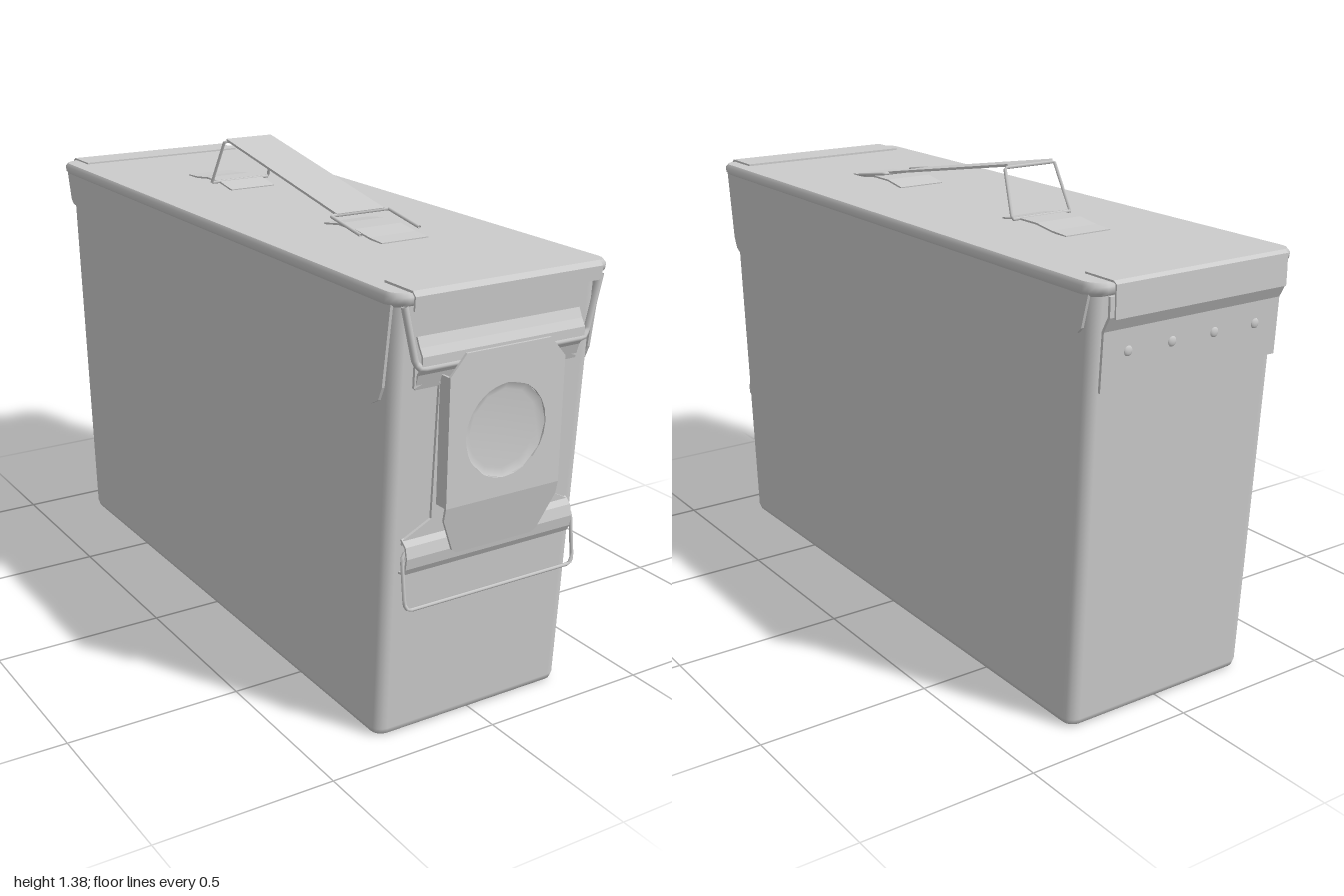
import * as THREE from 'three';

const material = new THREE.MeshStandardMaterial({ color: 0xcccccc, side: THREE.DoubleSide });

function add(parent, name, geometry) {
  const mesh = new THREE.Mesh(geometry, material);
  mesh.name = name;
  parent.add(mesh);
  return mesh;
}

// Half outline [x, y] mirrored across x = 0
const mirrored = (half) => [...half, ...half.slice().reverse().map(([x, y]) => [-x, y])];
const toShape = (pts) => new THREE.Shape(pts.map(([x, y]) => new THREE.Vector2(x, y)));

function plate(shape, depth) {
  return new THREE.ExtrudeGeometry(shape, { depth, bevelEnabled: false, curveSegments: 12 });
}

// Bent sheet metal: profile of [z, y] points given a thickness and a width along x
function strip(profile, width, t = 0.006) {
  const offset = profile.map(([z, y], i) => {
    const a = profile[Math.max(i - 1, 0)], b = profile[Math.min(i + 1, profile.length - 1)];
    const d = Math.hypot(b[0] - a[0], b[1] - a[1]);
    return [z - (b[1] - a[1]) / d * t, y + (b[0] - a[0]) / d * t];
  });
  const g = plate(toShape([...profile, ...offset.reverse()]), width);
  g.translate(0, 0, -width / 2);
  return g.rotateY(-Math.PI / 2);
}

// Wire through [x, y, z] corners, kept straight between them
function wire(points, radius = 0.006, closed = false) {
  const path = new THREE.CurvePath();
  const v = points.map((p) => new THREE.Vector3(...p));
  if (closed) v.push(v[0].clone());
  for (let i = 0; i < v.length - 1; i++) path.add(new THREE.LineCurve3(v[i], v[i + 1]));
  return new THREE.TubeGeometry(path, 60, radius, 6);
}

// Points of a rounded rectangle in plan
function ring(hx, z0, z1, r, y, n = 4) {
  const pts = [];
  [[hx - r, z1 - r], [-hx + r, z1 - r], [-hx + r, z0 + r], [hx - r, z0 + r]].forEach(([x, z], k) => {
    for (let i = 0; i <= n; i++) {
      const a = (k + i / n) * Math.PI / 2;
      pts.push([x + r * Math.cos(a), y, z + r * Math.sin(a)]);
    }
  });
  return pts;
}

// Skin through stacked rings, with both ends capped
function loft(rings) {
  const n = rings[0].length, pos = rings.flat(2), index = [];
  for (let j = 0; j < rings.length - 1; j++) {
    for (let i = 0; i < n; i++) {
      const a = j * n + i, b = j * n + (i + 1) % n;
      index.push(a, a + n, b, b, a + n, b + n);
    }
  }
  const base = pos.length / 3;
  pos.push(...rings[0].flat(), ...rings[rings.length - 1].flat());
  for (let i = 1; i < n - 1; i++) {
    index.push(base, base + i, base + i + 1, base + n, base + n + i + 1, base + n + i);
  }
  const g = new THREE.BufferGeometry();
  g.setAttribute('position', new THREE.Float32BufferAttribute(pos, 3));
  g.setIndex(index);
  g.computeVertexNormals();
  return g;
}

export function createModel() {
  const model = new THREE.Group();
  model.name = 'ammunitionBox';

  // Tapered body with rounded vertical and bottom edges
  add(model, 'body', loft([
    ring(0.285, -0.875, 0.88, 0.02, 0),
    ring(0.298, -0.89, 0.895, 0.03, 0.006),
    ring(0.304, -0.896, 0.9, 0.035, 0.022),
    ring(0.315, -0.955, 0.955, 0.035, 1.2),
  ]));

  // Lid
  const lid = new THREE.Group();
  lid.name = 'lid';
  model.add(lid);
  add(lid, 'lidShell', loft([
    ring(0.322, -0.965, 0.965, 0.035, 1.185),
    ring(0.332, -0.982, 0.982, 0.045, 1.196),
    ring(0.333, -0.984, 0.984, 0.045, 1.212),
    ring(0.326, -0.976, 0.976, 0.04, 1.222),
  ]));

  // Slanted skirts down both sides of the lid
  const skirt = toShape([[0.955, 1.2], [0.925, 0.98], [0.91, 0.945], [0.88, 0.928], [0.83, 0.92],
    [-0.915, 1.09], [-0.93, 1.105], [-0.955, 1.2]]);
  for (const s of [-1, 1]) {
    const g = plate(skirt, 0.008).translate(0, 0, -0.004).rotateY(-Math.PI / 2);
    add(lid, s > 0 ? 'leftSkirt' : 'rightSkirt', g).position.x = s * 0.321;
  }

  // Folded plates over the front and back edges
  add(lid, 'frontLip', strip([[0.87, 1.222], [0.985, 1.222], [0.992, 1.215], [0.99, 1.18]], 0.57));
  const hinge = new THREE.Group();
  hinge.name = 'hinge';
  model.add(hinge);
  add(hinge, 'hingeCover', strip([[-0.997, 1.135], [-0.997, 1.22], [-0.99, 1.223], [-0.885, 1.223]], 0.56, 0.005));
  add(hinge, 'hingePlate', strip([[-0.956, 0.945], [-0.964, 1.1], [-0.985, 1.14], [-0.985, 1.19]], 0.58, 0.008));
  for (let i = 0; i < 4; i++) {
    const g = new THREE.SphereGeometry(0.014, 10, 6).scale(1, 1, 0.4);
    add(hinge, 'hingeRivet', g).position.set(-0.21 + i * 0.14, 1.04, -0.968);
  }

  // Front latch
  const latch = new THREE.Group();
  latch.name = 'latch';
  model.add(latch);

  // Backing bracket, flared at both ends and leaning with the body
  const bracket = plate(toShape(mirrored([[0.265, 0.56], [0.26, 0.575], [0.18, 0.615], [0.18, 1.0],
    [0.255, 0.975], [0.255, 1.035]])), 0.008);
  const bp = bracket.attributes.position;
  for (let i = 0; i < bp.count; i++) bp.setZ(i, bp.getZ(i) + 0.906 + 0.046 * bp.getY(i));
  bracket.computeVertexNormals();
  add(latch, 'bracket', bracket);
  add(latch, 'upperCatch', strip([[0.955, 0.97], [0.968, 1.01], [0.985, 1.035], [0.985, 1.06],
    [0.972, 1.08], [0.96, 1.105]], 0.5));
  add(latch, 'lowerRoll', strip([[0.925, 0.478], [0.947, 0.482], [0.957, 0.5], [0.962, 0.53],
    [0.955, 0.56], [0.935, 0.577]], 0.53));

  // Lever plate with a round dish, its tail bent towards the body
  const lever = toShape(mirrored([[0.12, 0.52], [0.135, 0.53], [0.178, 0.625], [0.178, 0.66],
    [0.178, 1.0], [0.13, 1.055]]));
  lever.holes.push(new THREE.Path().absellipse(0, 0.835, 0.125, 0.125, 0, Math.PI * 2));
  const leverGeometry = plate(lever, 0.007).translate(0, 0, 0.992);
  const lp = leverGeometry.attributes.position;
  for (let i = 0; i < lp.count; i++) {
    lp.setZ(i, lp.getZ(i) - Math.max(0, 0.66 - lp.getY(i)) * 0.2);
  }
  leverGeometry.computeVertexNormals();
  add(latch, 'lever', leverGeometry);
  const dish = new THREE.LatheGeometry([[0, 0], [0.105, 0], [0.126, 0.01]].map((p) => new THREE.Vector2(...p)), 12);
  add(latch, 'leverDish', dish.rotateX(Math.PI / 2)).position.set(0, 0.835, 0.986);
  for (const s of [-1, 1]) {
    add(latch, 'leverFlange', new THREE.BoxGeometry(0.006, 0.34, 0.035)).position.set(s * 0.175, 0.83, 0.975);
  }

  // Wire bails above and below the lever
  add(latch, 'upperBail', wire([[-0.3, 1.19, 0.975], [-0.265, 1.045, 0.975], [-0.25, 1.03, 0.98],
    [0.25, 1.03, 0.98], [0.265, 1.045, 0.975], [0.3, 1.19, 0.975]], 0.009));
  add(latch, 'lowerBail', wire([[-0.262, 0.545, 0.948], [-0.272, 0.53, 0.95], [-0.272, 0.41, 0.966],
    [-0.262, 0.393, 0.968], [0.262, 0.393, 0.968], [0.272, 0.41, 0.966], [0.272, 0.53, 0.95],
    [0.262, 0.545, 0.948]], 0.005));

  // Carrying handle: raised strap, wire loops and clips
  const handle = new THREE.Group();
  handle.name = 'handle';
  model.add(handle);
  add(handle, 'strap', strip([[-0.29, 1.37], [0.335, 1.256]], 0.155, 0.007));
  add(handle, 'frontLoop', wire([[-0.095, 1.234, 0.48], [-0.095, 1.258, 0.332], [0.095, 1.258, 0.332],
    [0.095, 1.234, 0.48]], 0.005));
  add(handle, 'backLoop', wire([[-0.1, 1.236, -0.345], [0.1, 1.236, -0.345], [0.085, 1.368, -0.288],
    [-0.085, 1.368, -0.288]], 0.005, true));
  for (const s of [-1, 1]) {
    const clip = strip([[0.265, 1.22], [0.29, 1.224], [0.34, 1.232], [0.42, 1.232], [0.49, 1.223], [0.55, 1.22]], 0.15, 0.005);
    if (s < 0) clip.rotateY(Math.PI);
    add(handle, s > 0 ? 'frontClip' : 'backClip', clip);
  }

  return model;
}
